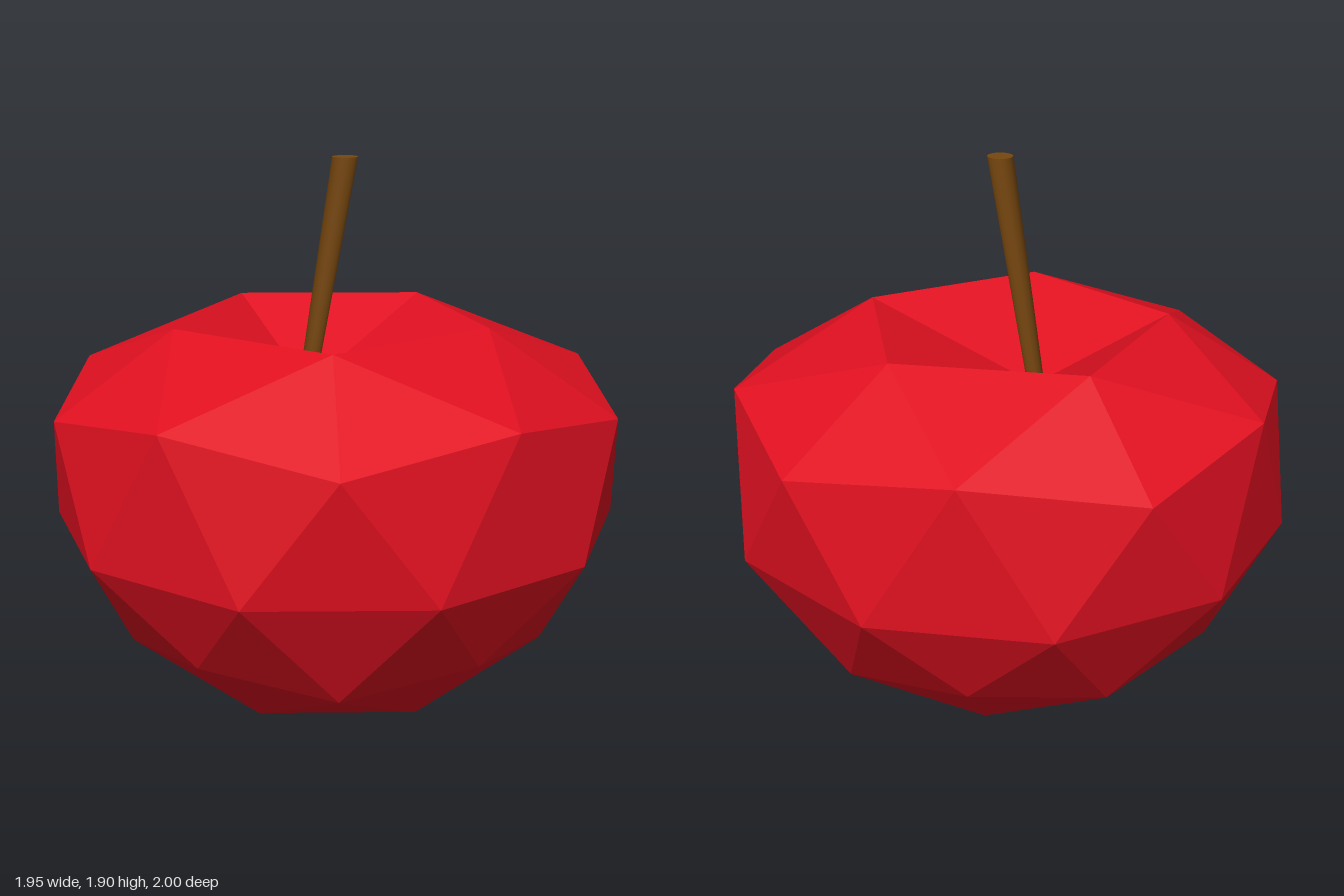
import * as THREE from 'three';

const CX = -0.027; // axis of the fruit

// Ring of n points; radius and height may alternate between even and odd points
function ring(n, start, radii, heights, cz = 0) {
  return Array.from({ length: n }, (_, i) => {
    const a = THREE.MathUtils.degToRad(start + (360 / n) * i);
    const r = radii[i % radii.length];
    return [CX + r * Math.cos(a), heights[i % heights.length], cz + r * Math.sin(a)];
  });
}

// Faceted body: icosphere topology with both poles pushed in
function bodyGeometry() {
  const topPit = [-0.1, 1.09, -0.07];
  const top = ring(5, 0, [0.565], [1.33], -0.02);
  const shoulder = ring(10, 0, [1.0, 0.955], [1.045, 1.13]);
  const middle = ring(10, 18, [1.0], [0.62]);
  const lower = ring(10, 0, [0.757, 0.79], [0.22, 0.29]);
  const base = ring(5, 36, [0.465], [0]);
  const basePit = [CX, 0.16, 0];

  const pos = [];
  const tri = (a, b, c) => pos.push(...a, ...b, ...c);
  const at = (r, i) => r[(i + r.length) % r.length];

  for (let k = 0; k < 5; k++) {
    const t = top[k], t1 = at(top, k + 1);
    const b = base[k], b1 = at(base, k + 1);
    // upper dimple and shoulder
    tri(topPit, t1, t);
    tri(t, t1, at(shoulder, 2 * k + 1));
    tri(t, at(shoulder, 2 * k + 1), at(shoulder, 2 * k));
    tri(t, at(shoulder, 2 * k), at(shoulder, 2 * k - 1));
    // lower dimple and underside
    tri(basePit, b, b1);
    tri(b, at(lower, 2 * k + 2), b1);
    tri(b, at(lower, 2 * k), at(lower, 2 * k + 1));
    tri(b, at(lower, 2 * k + 1), at(lower, 2 * k + 2));
  }
  // side bands
  for (let j = 0; j < 10; j++) {
    const m = middle[j], m1 = at(middle, j + 1);
    tri(m, shoulder[j], at(shoulder, j + 1));
    tri(at(shoulder, j + 1), m1, m);
    tri(m, at(lower, j + 1), lower[j]);
    tri(at(lower, j + 1), m, m1);
  }
  const g = new THREE.BufferGeometry();
  g.setAttribute('position', new THREE.Float32BufferAttribute(pos, 3));
  g.computeVertexNormals();
  return g;
}

// Cylinder between two points that keeps its end caps level
function leaningCylinder(from, to, rFrom, rTo, sides) {
  const h = to[1] - from[1];
  const g = new THREE.CylinderGeometry(rTo, rFrom, h, sides);
  g.translate(0, h / 2, 0);
  const p = g.attributes.position;
  for (let i = 0; i < p.count; i++) {
    const t = p.getY(i) / h;
    p.setXYZ(i,
      p.getX(i) + THREE.MathUtils.lerp(from[0], to[0], t),
      p.getY(i) + from[1],
      p.getZ(i) + THREE.MathUtils.lerp(from[2], to[2], t));
  }
  return g;
}

export function createModel() {
  const model = new THREE.Group();
  model.name = 'apple';
  const red = new THREE.MeshStandardMaterial({ color: 0xe01020, flatShading: true });
  const brown = new THREE.MeshStandardMaterial({ color: 0x77470f });

  const add = (name, geometry, material) => {
    const mesh = new THREE.Mesh(geometry, material);
    mesh.name = name;
    model.add(mesh);
  };

  add('body', bodyGeometry(), red);
  add('stem', leaningCylinder([-0.11, 1.02, -0.08], [-0.055, 1.9, 0.06], 0.029, 0.045, 16), brown);
  // small nub in the lower dimple
  add('blossomEnd', leaningCylinder([0, 0.11, 0], [0, 0.22, 0], 0.027, 0.03, 12), brown);
  return model;
}
